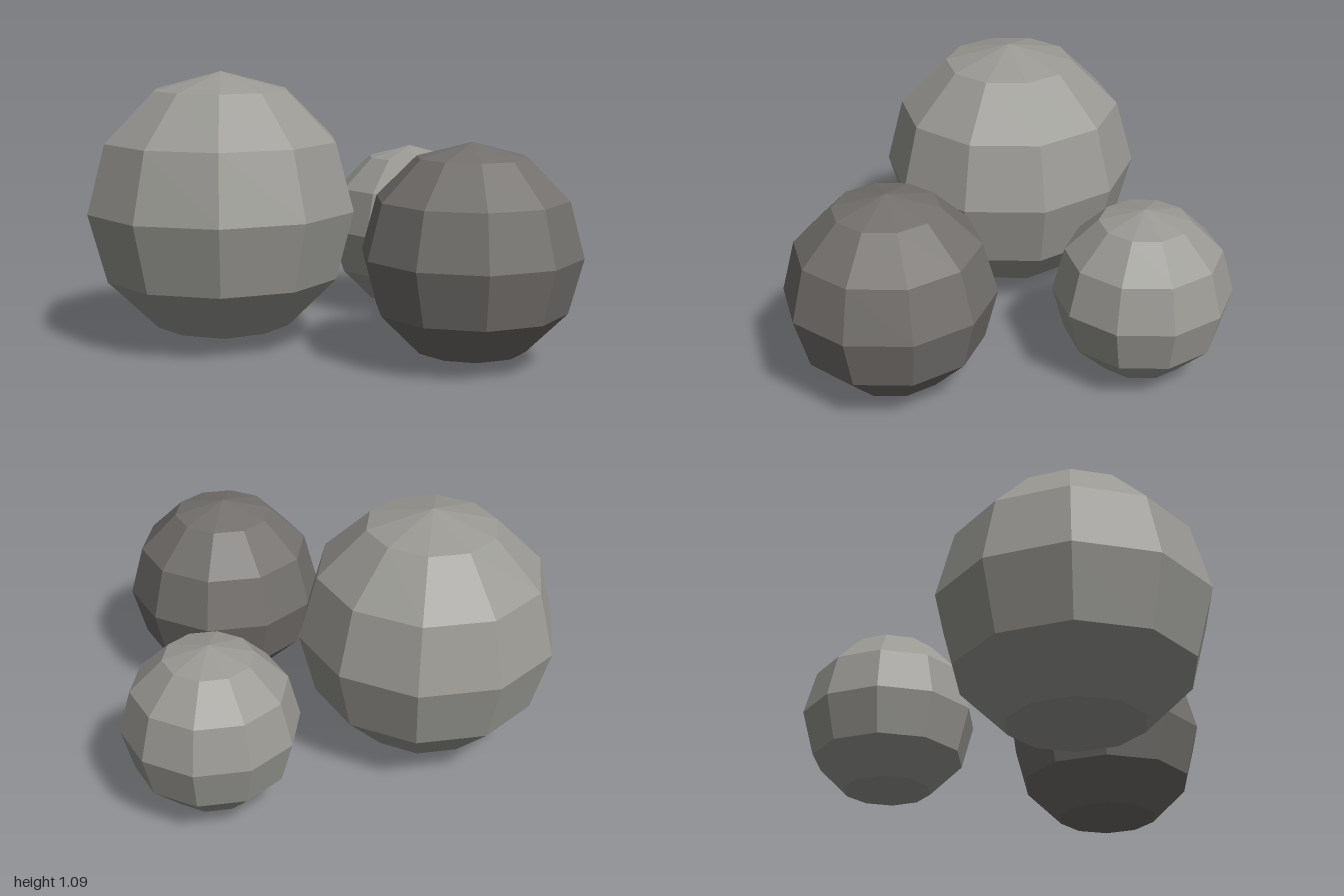
import * as THREE from 'three';

export function createModel() {
  const group = new THREE.Group();
  group.name = 'boulders';

  const lightStone = new THREE.MeshStandardMaterial({ color: 0x9a9994, flatShading: true });
  lightStone.name = 'light stone';
  const darkStone = new THREE.MeshStandardMaterial({ color: 0x73706d, flatShading: true });
  darkStone.name = 'dark stone';

  // Each boulder is a faceted ball resting on the ground
  function addBoulder(name, radius, x, z, material) {
    const mesh = new THREE.Mesh(new THREE.SphereGeometry(radius, 10, 6), material);
    mesh.name = name;
    mesh.position.set(x, radius, z);
    group.add(mesh);
  }

  addBoulder('largeBoulder', 0.545, -0.455, 0.304, lightStone);
  addBoulder('mediumBoulder', 0.424, 0.576, 0.425, darkStone);
  addBoulder('smallBoulder', 0.363, 0.149, -0.484, lightStone);

  return group;
}
